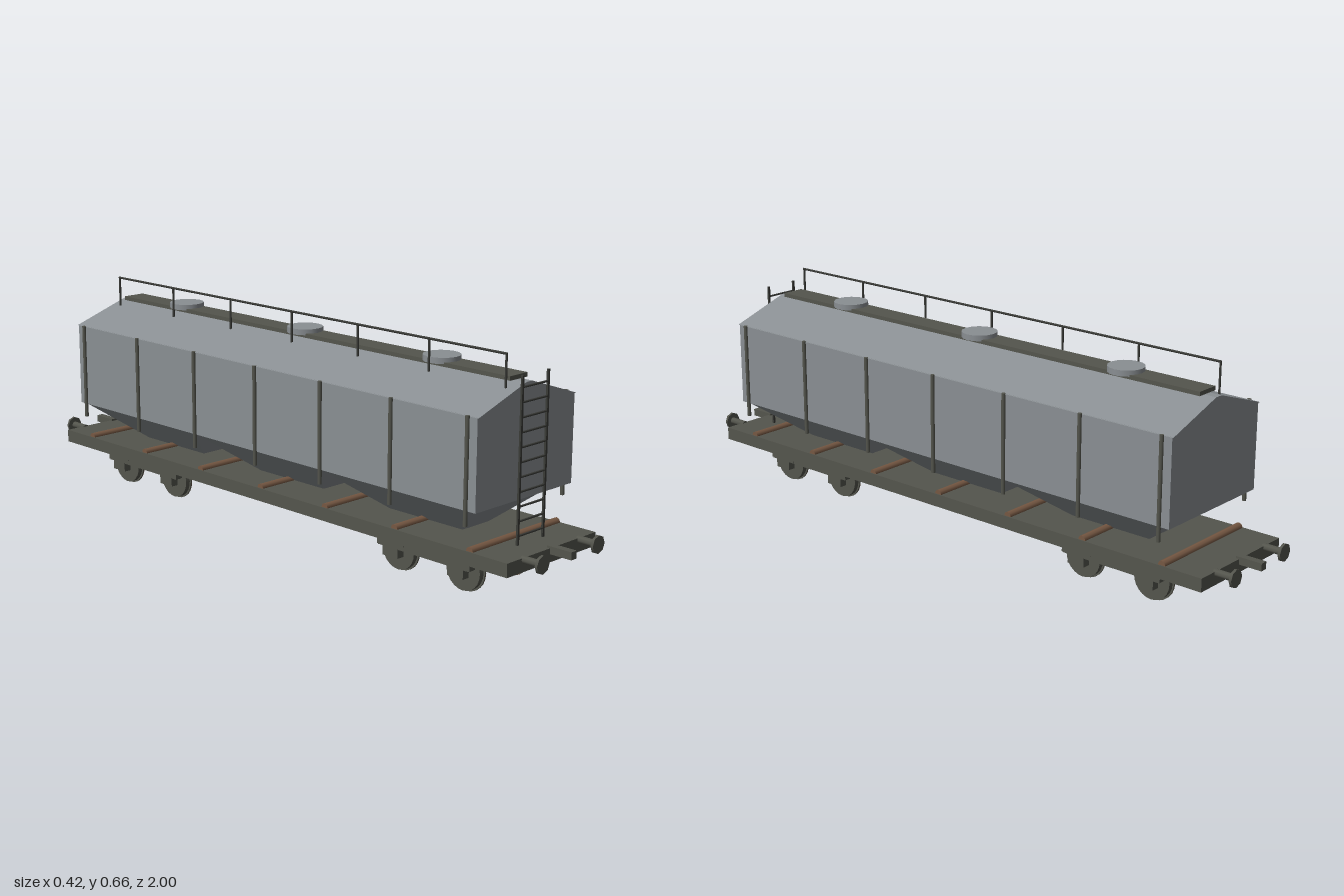
import * as THREE from 'three';

const paint = (name, color) => {
  const m = new THREE.MeshStandardMaterial({ color });
  m.name = name;
  return m;
};

export function createModel() {
  const model = new THREE.Group();
  model.name = 'hopperWagon';
  const grey = paint('bodyGrey', 0x8a8f93);
  const frame = paint('frameGrey', 0x54554d);
  const dark = paint('darkSteel', 0x3a3b37);
  const rust = paint('rustBrown', 0x765843);

  const add = (name, geo, mat, x = 0, y = 0, z = 0) => {
    const mesh = new THREE.Mesh(geo, mat);
    mesh.name = name;
    mesh.position.set(x, y, z);
    model.add(mesh);
    return mesh;
  };
  const box = (name, mat, w, h, d, x, y, z) => add(name, new THREE.BoxGeometry(w, h, d), mat, x, y, z);
  // cylinder lying along the chosen axis
  const rod = (name, mat, axis, r, length, sides, x, y, z) => {
    const geo = new THREE.CylinderGeometry(r, r, length, sides);
    if (axis === 'x') geo.rotateZ(Math.PI / 2);
    if (axis === 'z') geo.rotateX(Math.PI / 2);
    return add(name, geo, mat, x, y, z);
  };

  const bays = [-3, -2, -1, 0, 1, 2, 3].map((i) => i * 0.267);

  // underframe
  box('deck', frame, 0.372, 0.039, 1.86, 0, 0.1325, 0);
  for (const z of bays) rod('crossPipe', rust, 'x', 0.012, 0.366, 8, 0, 0.153, z);
  rod('brakeReservoir', rust, 'z', 0.021, 0.134, 16, -0.067, 0.092, 0);

  // tank body and gabled roof
  box('body', grey, 0.4, 0.254, 1.664, 0, 0.393, 0);
  const gable = new THREE.Shape([
    new THREE.Vector2(-0.202, 0.519), new THREE.Vector2(0.202, 0.519),
    new THREE.Vector2(0.012, 0.583), new THREE.Vector2(-0.012, 0.583),
  ]);
  const roof = new THREE.ExtrudeGeometry(gable, { depth: 1.672, bevelEnabled: false });
  add('roof', roof.translate(0, 0, -0.836), grey);

  // three tapering discharge hoppers
  for (const z of [-0.533, 0, 0.533]) {
    const geo = new THREE.BoxGeometry(0.4, 0.116, 0.534).toNonIndexed();
    const p = geo.attributes.position;
    for (let i = 0; i < p.count; i++) {
      if (p.getY(i) < 0) p.setXYZ(i, p.getX(i) * 0.27, p.getY(i), p.getZ(i) * 0.5);
    }
    geo.computeVertexNormals();
    add('hopper', geo, grey, 0, 0.209, z);
    rod('roofHatch', grey, 'y', 0.053, 0.017, 16, 0, 0.6, z);
  }

  // side posts, roof walkway and handrail
  for (const z of bays) {
    for (const s of [-1, 1]) rod('sidePost', frame, 'y', 0.006, 0.296, 8, s * 0.203, 0.373, z);
    rod('handrailPost', dark, 'y', 0.0035, 0.095, 6, -0.054, 0.6125, z);
  }
  rod('handrail', dark, 'z', 0.0035, 1.607, 6, -0.054, 0.659, 0);
  box('walkway', frame, 0.072, 0.012, 1.6, 0, 0.59, 0);

  // end ladder
  for (const s of [-1, 1]) box('ladderRail', dark, 0.007, 0.46, 0.006, s * 0.053, 0.381, 0.855);
  for (let i = 0; i < 11; i++) rod('ladderRung', dark, 'x', 0.003, 0.104, 6, 0, 0.177 + i * 0.0402, 0.855);

  // couplers and buffers at both ends
  for (const e of [-1, 1]) {
    box('coupler', frame, 0.022, 0.022, 0.08, 0, 0.147, e * 0.96);
    for (const s of [-1, 1]) {
      rod('bufferStem', frame, 'z', 0.011, 0.065, 8, s * 0.117, 0.147, e * 0.957);
      rod('bufferDisc', frame, 'z', 0.026, 0.008, 8, s * 0.117, 0.147, e * 0.988);
    }
  }

  // bogies
  for (const e of [-1, 1]) {
    for (const s of [-1, 1]) box('sideFrame', frame, 0.022, 0.026, 0.33, s * 0.13, 0.089, e * 0.6);
    for (const dz of [-0.118, 0.118]) {
      const z = e * 0.6 + dz;
      rod('axle', frame, 'x', 0.01, 0.24, 10, 0, 0.065, z);
      for (const s of [-1, 1]) {
        rod('wheel', frame, 'x', 0.059, 0.018, 24, s * 0.1, 0.064, z);
        rod('wheelFlange', frame, 'x', 0.064, 0.004, 24, s * 0.092, 0.064, z);
        rod('wheelInnerFace', rust, 'x', 0.0635, 0.002, 24, s * 0.0892, 0.064, z);
        box('axleBox', frame, 0.024, 0.03, 0.056, s * 0.13, 0.065, z);
        box('axleBoxCap', frame, 0.024, 0.024, 0.1, s * 0.13, 0.09, z);
      }
    }
  }
  return model;
}
